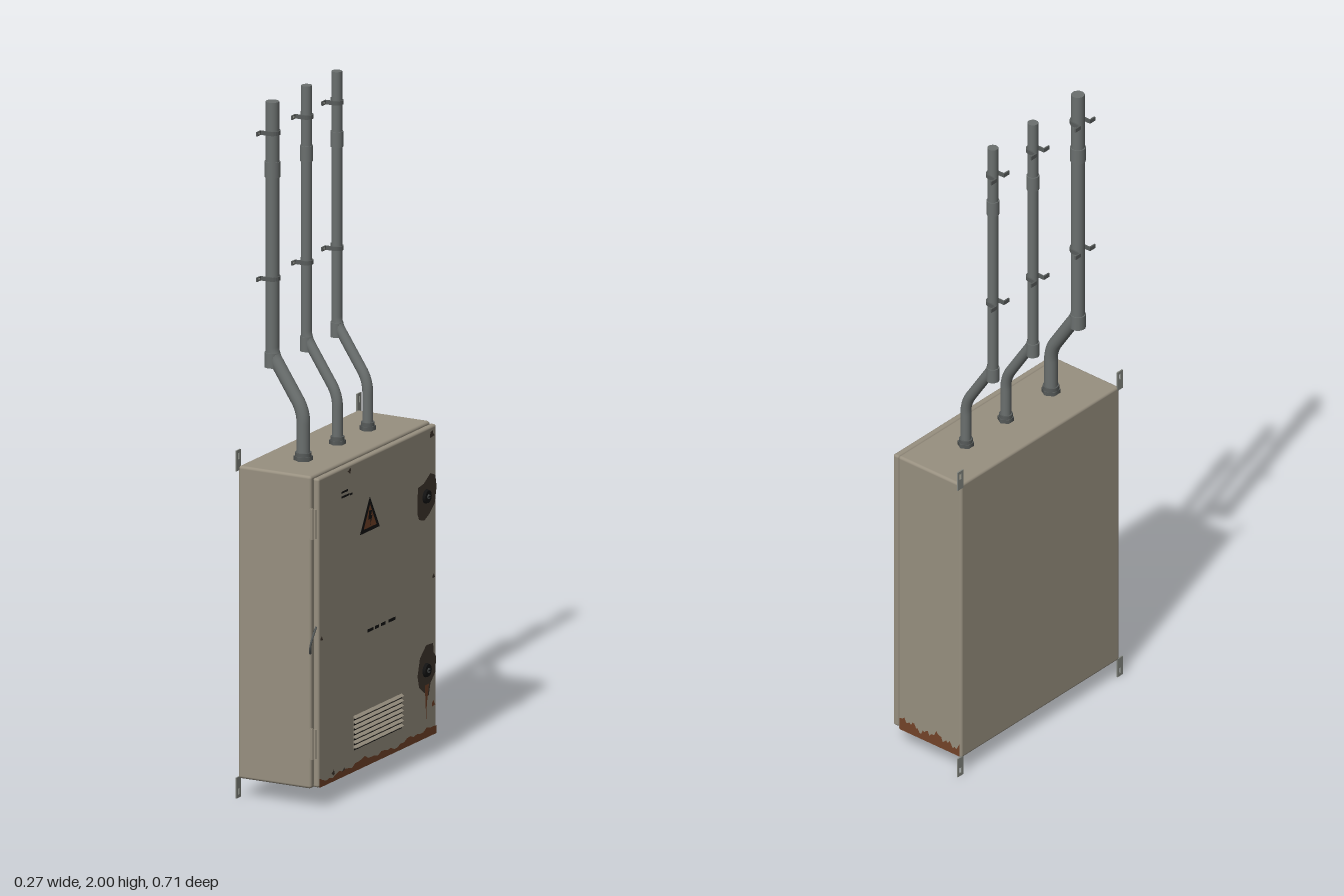
import * as THREE from 'three';
import { RoundedBoxGeometry } from 'three/addons/geometries/RoundedBoxGeometry.js';

const mat = (name, color) => {
  const m = new THREE.MeshStandardMaterial({ color });
  m.name = name;
  return m;
};

export function createModel() {
  const model = new THREE.Group();
  model.name = 'electricalCabinet';
  const paint = mat('cabinetPaint', 0x989080);
  const steel = mat('conduitGrey', 0x6b706f);
  const fitting = mat('fittingGrey', 0x585c5b);
  const zinc = mat('zincGrey', 0x83867f);
  const gasketMat = mat('gasketDark', 0x35332c);
  const black = mat('black', 0x121212);
  const bare = mat('scrapedBrown', 0x41382f);
  const rust = mat('rust', 0x744429);
  for (const m of [steel, fitting, zinc]) m.side = THREE.DoubleSide;

  const add = (name, geo, material, x = 0, y = 0, z = 0, parent = model) => {
    const mesh = new THREE.Mesh(geo, material);
    mesh.name = name;
    mesh.position.set(x, y, z);
    parent.add(mesh);
    return mesh;
  };
  const box = (name, w, h, d, material, x, y, z, parent) =>
    add(name, new THREE.BoxGeometry(w, h, d), material, x, y, z, parent);
  const shapeOf = pts => new THREE.Shape(pts.map(p => new THREE.Vector2(p[0], p[1])));

  // Cabinet, gasket and door; the door faces +x
  add('cabinetBody', new RoundedBoxGeometry(0.235, 0.912, 0.684, 3, 0.008), paint, -0.0175, 0.511, 0);
  box('doorGasket', 0.012, 0.89, 0.66, gasketMat, 0.1, 0.511, 0);
  add('door', new RoundedBoxGeometry(0.02, 0.902, 0.674, 3, 0.007), paint, 0.113, 0.511, 0);

  // Flat marks on the door, drawn in (z, y)
  const FACE = 0.1232;
  const onDoor = (name, pts, material, layer = 1) => {
    const geo = new THREE.ShapeGeometry(shapeOf(pts.map(([z, y]) => [-z, y])));
    const mesh = add(name, geo, material, FACE + layer * 0.0008);
    mesh.rotation.y = Math.PI / 2;
    return mesh;
  };
  const mark = (name, z, y, w, h, material, layer) =>
    onDoor(name, [[z - w / 2, y - h / 2], [z + w / 2, y - h / 2], [z + w / 2, y + h / 2], [z - w / 2, y + h / 2]], material, layer);

  // Wavy rust along the bottom edges of the door and of the -z side
  const wavy = (a, b, base, height) => {
    const pts = [[a, base], [b, base]];
    const n = 36;
    for (let i = n; i >= 0; i--) {
      const bump = Math.sin(i * 0.9) * 0.3 + Math.sin(i * 2.3 + 1) * 0.25 + Math.sin(i * 0.35) * 0.3;
      pts.push([a + (b - a) * i / n, base + height * (1 + bump * 0.7)]);
    }
    return pts;
  };
  onDoor('doorRust', wavy(-0.333, 0.333, 0.06, 0.02), rust);
  const sideRust = add('sideRust', new THREE.ShapeGeometry(shapeOf(wavy(-0.094, 0.129, 0.06, 0.032))), rust, 0, 0, -0.3428);
  sideRust.rotation.y = Math.PI;

  // Scraped paint around the locks, with a rust run below the lower one
  onDoor('upperScrape', [[-0.225, 0.725], [-0.228, 0.80], [-0.262, 0.805], [-0.30, 0.827], [-0.328, 0.815],
    [-0.335, 0.78], [-0.325, 0.735], [-0.295, 0.71], [-0.265, 0.697], [-0.235, 0.705]], bare);
  onDoor('lowerScrape', [[-0.226, 0.25], [-0.24, 0.30], [-0.275, 0.33], [-0.315, 0.328], [-0.318, 0.30],
    [-0.332, 0.285], [-0.328, 0.24], [-0.30, 0.215], [-0.29, 0.18], [-0.262, 0.195], [-0.235, 0.215]], bare);
  onDoor('rustRun', [[-0.266, 0.215], [-0.27, 0.17], [-0.274, 0.11], [-0.278, 0.16], [-0.284, 0.185], [-0.29, 0.215]], rust, 2);

  // Small paint chips: z, y, size, material
  [[0.162, 0.944, 0.012, bare], [-0.308, 0.938, 0.017, bare], [-0.318, 0.522, 0.01, bare], [0.322, 0.492, 0.01, bare],
    [-0.316, 0.15, 0.013, rust], [0.255, 0.085, 0.012, bare], [0.195, 0.078, 0.01, bare]].forEach(([z, y, s, m]) =>
    onDoor('paintChip', [0, 1, 2, 3, 4, 5, 6].map(i => {
      const a = i / 7 * Math.PI * 2, r = s * (0.75 + 0.3 * Math.sin(i * 2.6 + z * 9));
      return [z + Math.cos(a) * r, y + Math.sin(a) * r * 0.8];
    }), m));

  // Warning triangle with bolt
  onDoor('warningBorder', [[0.103, 0.742], [-0.01, 0.742], [0.0465, 0.842]], black);
  onDoor('warningPanel', [[0.083, 0.753], [0.01, 0.753], [0.0465, 0.82]], rust, 2);
  onDoor('warningBolt', [[0.053, 0.803], [0.037, 0.80], [0.043, 0.786], [0.034, 0.787], [0.048, 0.757],
    [0.045, 0.777], [0.058, 0.776]], black, 3);

  // Worn printed dashes
  [[0.042, 0.035], [0.006, 0.024], [-0.03, 0.024], [-0.08, 0.038]].forEach(([z, w]) => mark('wornDash', z, 0.452, w, 0.009, black));
  [[0.19, 0.891, 0.036], [0.185, 0.877, 0.045], [0.153, 0.875, 0.012]].forEach(([z, y, w]) => mark('wornDash', z, y, w, 0.006, black));

  // Ventilation louvres: a dark slot under each sloping hood
  const hood = new THREE.ExtrudeGeometry(shapeOf([[0, 0], [0.008, 0], [0.008, 0.0015], [0, 0.008]]), { depth: 0.274, bevelEnabled: false });
  for (let i = 0; i < 7; i++) {
    const y = 0.128 + i * 0.0145;
    add('louvreHood', hood, paint, FACE - 0.0005, y, -0.137);
    mark('louvreSlot', 0, y - 0.003, 0.274, 0.006, black);
  }

  // Quarter-turn locks
  for (const y of [0.765, 0.258]) {
    const lock = new THREE.Group();
    lock.name = 'doorLock';
    lock.position.set(FACE, y, -0.275);
    model.add(lock);
    add('lockRing', new THREE.CylinderGeometry(0.018, 0.021, 0.009, 20), black, 0.0045, 0, 0, lock).rotation.z = -Math.PI / 2;
    add('lockCore', new THREE.CylinderGeometry(0.007, 0.007, 0.003, 12), fitting, 0.0095, 0, 0, lock).rotation.z = -Math.PI / 2;
    box('keySlot', 0.002, 0.004, 0.009, black, 0.011, 0, 0, lock);
  }

  // Hinges and the bent hasp on the +z edge
  for (const y of [0.83, 0.188]) {
    box('hingeLeaf', 0.024, 0.085, 0.004, paint, 0.105, y, 0.342);
    add('hingeBarrel', new THREE.CylinderGeometry(0.005, 0.005, 0.09, 10), paint, 0.105, y, 0.346);
  }
  const hasp = new THREE.CatmullRomCurve3([[0.115, 0.53, 0.337], [0.112, 0.505, 0.35], [0.108, 0.485, 0.354],
    [0.103, 0.467, 0.35], [0.097, 0.45, 0.339]].map(p => new THREE.Vector3(...p)));
  add('hasp', new THREE.TubeGeometry(hasp, 16, 0.0035, 6), fitting);

  // Slotted wall lugs at the four back corners
  for (const sz of [-1, 1]) {
    for (const y of [0.985, 0.03]) {
      const s = shapeOf([[-0.012, -0.03], [0.012, -0.03], [0.012, 0.03], [-0.012, 0.03]]);
      const slotY = y > 0.5 ? 0.012 : -0.012;
      s.holes.push(shapeOf([[-0.004, slotY - 0.009], [-0.004, slotY + 0.009], [0.004, slotY + 0.009], [0.004, slotY - 0.009]]));
      const lug = add('wallLug', new THREE.ExtrudeGeometry(s, { depth: 0.004, bevelEnabled: false }), zinc, -0.135, y, sz * 0.345);
      lug.rotation.y = Math.PI / 2;
    }
  }

  // Conduits: gland, offset bend, straight run, sleeves and saddle clips
  const X0 = -0.007, X1 = -0.107;
  const v = (x, y) => new THREE.Vector3(x, y, 0);
  for (const [z, r] of [[0.195, 0.0195], [0, 0.0155], [-0.173, 0.0155]]) {
    const conduit = new THREE.Group();
    conduit.name = 'conduit';
    conduit.position.z = z;
    model.add(conduit);
    const cyl = (name, radius, y0, y1, x, material, sides = 16) =>
      add(name, new THREE.CylinderGeometry(radius, radius, y1 - y0, sides), material, x, (y0 + y1) / 2, 0, conduit);

    cyl('glandNut', r + 0.008, 0.964, 0.979, X0, fitting, 6).material.flatShading = false;
    cyl('glandCollar', r + 0.004, 0.979, 0.99, X0, fitting);
    const path = new THREE.CurvePath();
    path.add(new THREE.LineCurve3(v(X0, 0.965), v(X0, 1.075)));
    path.add(new THREE.QuadraticBezierCurve3(v(X0, 1.075), v(X0, 1.108), v(X0 - 0.017, 1.136)));
    path.add(new THREE.LineCurve3(v(X0 - 0.017, 1.136), v(X1 + 0.012, 1.245)));
    path.add(new THREE.QuadraticBezierCurve3(v(X1 + 0.012, 1.245), v(X1, 1.264), v(X1, 1.285)));
    add('offsetBend', new THREE.TubeGeometry(path, 40, r, 16), steel, 0, 0, 0, conduit);
    cyl('straightRun', r, 1.235, 2, X1, steel);
    cyl('lowerSleeve', r + 0.003, 1.225, 1.268, X1, steel);
    cyl('upperSleeve', r + 0.003, 1.78, 1.825, X1, steel);

    // Omega-shaped strap: flat wings on the wall plane, arched over the conduit
    const R = r + 0.004, wing = R + 0.019, back = -0.135 - X1;
    const strap = [[back, -wing], [back, -R]];
    const inner = [];
    for (let i = 0; i <= 10; i++) {
      const a = -Math.PI / 2 + Math.PI * i / 10;
      strap.push([Math.cos(a) * R, Math.sin(a) * R]);
      inner.unshift([Math.cos(a) * (r - 0.001), Math.sin(a) * (r - 0.001)]);
    }
    strap.push([back, R], [back, wing], [back - 0.0005, wing], [back - 0.0005, r], ...inner, [back - 0.0005, -r], [back - 0.0005, -wing]);
    // give the wings some thickness in front of the wall plane
    const clipGeo = new THREE.ExtrudeGeometry(shapeOf(strap), { depth: 0.012, bevelEnabled: false });
    for (const y of [1.91, 1.485]) {
      add('saddleStrap', clipGeo, fitting, X1, y + 0.006, 0, conduit).rotation.x = Math.PI / 2;
      for (const s of [-1, 1]) {
        box('saddleWing', 0.004, 0.012, 0.02, fitting, -0.133, y, s * (R + 0.009), conduit);
        add('saddleScrew', new THREE.CylinderGeometry(0.004, 0.004, 0.004, 8), zinc, -0.13, y, s * (R + 0.011), conduit).rotation.z = Math.PI / 2;
      }
    }
  }
  return model;
}
